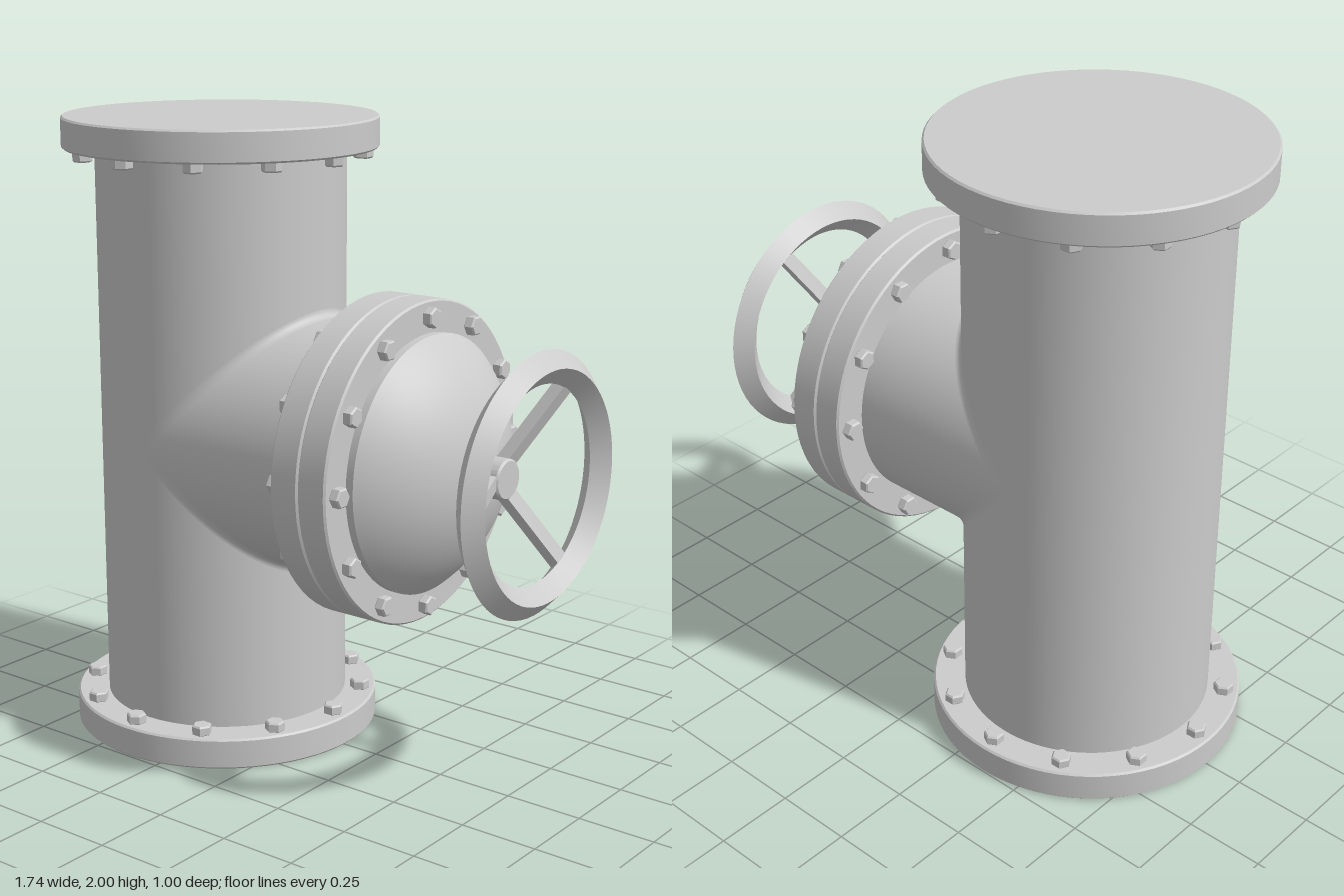
import * as THREE from 'three';
import { toCreasedNormals } from 'three/addons/utils/BufferGeometryUtils.js';

const PIPE_X = -0.373, R = 0.397;
const material = new THREE.MeshStandardMaterial({ color: 0xcccccc });

function add(parent, geometry, name) {
  const mesh = new THREE.Mesh(geometry, material);
  mesh.name = name;
  parent.add(mesh);
  return mesh;
}

// Turned part around y, profile given bottom to top as [radius, height]
function turned(profile, segments = 72) {
  const points = profile.map(([r, y]) => new THREE.Vector2(r, y));
  return toCreasedNormals(new THREE.LatheGeometry(points, segments), 0.5);
}

// Solid disc with slightly bevelled rims
function disc(y0, y1, r, b = 0.006) {
  return turned([[0, y0], [r - b, y0], [r, y0 + b], [r, y1 - b], [r - b, y1], [0, y1]]);
}

// Ring of twelve hexagonal bolt heads
function boltRing(parent, y, name) {
  const ring = new THREE.Group();
  ring.name = name;
  const b = 0.005, h = 0.017, r = 0.032;
  const head = turned([[0, -h], [r - b, -h], [r, b - h], [r, h - b], [r - b, h], [0, h]], 6);
  for (let i = 0; i < 12; i++) {
    const a = (i / 12) * Math.PI * 2;
    const bolt = add(ring, head, 'bolt');
    bolt.position.set(0.45 * Math.sin(a), y, 0.45 * Math.cos(a));
    bolt.rotation.y = a;
  }
  parent.add(ring);
}

// Concave blend between the two equal cylinders, upper half
function filletGeometry(f) {
  const g = new THREE.PlaneGeometry(1, 1, 64, 6);
  const p = g.attributes.position;
  for (let i = 0; i < p.count; i++) {
    const t = p.getX(i) * Math.PI;
    const a = (p.getY(i) + 0.5) * Math.PI / 2;
    const c = R * Math.cos(t);
    p.setXYZ(i, c + f * (1 - Math.cos(a)), c + f * (1 - Math.sin(a)), R * Math.sin(t));
  }
  g.computeVertexNormals();
  return g;
}

export function createModel() {
  const model = new THREE.Group();
  model.name = 'gateValve';

  // Upright pipe with a flange at each end
  const pipe = new THREE.Group();
  pipe.name = 'mainPipe';
  pipe.position.x = PIPE_X;
  model.add(pipe);
  const body = add(pipe, new THREE.CylinderGeometry(R, R, 1.84, 96, 1, true), 'pipeBody');
  body.position.y = 1;
  add(pipe, disc(0, 0.1, 0.5), 'bottomFlange');
  add(pipe, disc(1.9, 2, 0.5), 'topFlange');
  boltRing(pipe, 0.114, 'bottomBolts');
  boltRing(pipe, 1.886, 'topBolts');

  // Blend where the branch leaves the pipe
  const fillet = filletGeometry(0.025);
  for (const turn of [0, Math.PI]) {
    const blend = add(pipe, fillet, 'branchFillet');
    blend.position.y = 1;
    blend.rotation.x = turn;
  }

  // Side branch: local y runs along world x
  const branch = new THREE.Group();
  branch.name = 'branch';
  branch.position.y = 1;
  branch.rotation.z = -Math.PI / 2;
  model.add(branch);
  add(branch, turned([[R, PIPE_X], [R, 0.23]], 96), 'branchPipe');
  add(branch, disc(0.225, 0.325, 0.5), 'branchFlange');
  add(branch, disc(0.325, 0.425, 0.5), 'bonnetFlange');
  boltRing(branch, 0.21, 'branchBolts');
  boltRing(branch, 0.44, 'bonnetBolts');

  // Domed bonnet, a shallow spherical cap
  const dome = [[0.4, 0.42]];
  const capR = 0.516, edge = Math.asin(0.4 / capR);
  for (let i = 0; i <= 20; i++) {
    const a = edge * (1 - i / 20);
    dome.push([capR * Math.sin(a), 0.124 + capR * Math.cos(a)]);
  }
  add(branch, turned(dome, 96), 'bonnetDome');

  // Stem collar and hub
  add(branch, disc(0.61, 0.648, 0.08), 'stemCollar');
  add(branch, disc(0.64, 0.722, 0.063), 'wheelHub');

  // Handwheel: diamond-section rim on three sloping spokes
  const wheel = new THREE.Group();
  wheel.name = 'handwheel';
  branch.add(wheel);
  const rim = [[0.3, 0.82], [0.35, 0.772], [0.4, 0.82], [0.35, 0.868], [0.3, 0.82]];
  add(wheel, turned(rim), 'wheelRim');
  const dy = 0.135, dz = 0.31;
  const bar = new THREE.BoxGeometry(0.045, 0.04, Math.hypot(dy, dz));
  for (let i = 0; i < 3; i++) {
    const arm = new THREE.Group();
    arm.name = 'spokeArm';
    arm.rotation.y = (i * Math.PI * 2) / 3;
    const spoke = add(arm, bar, 'spoke');
    spoke.position.set(0, 0.675 + dy / 2, 0.015 + dz / 2);
    spoke.rotation.x = -Math.atan2(dy, dz);
    wheel.add(arm);
  }
  return model;
}
